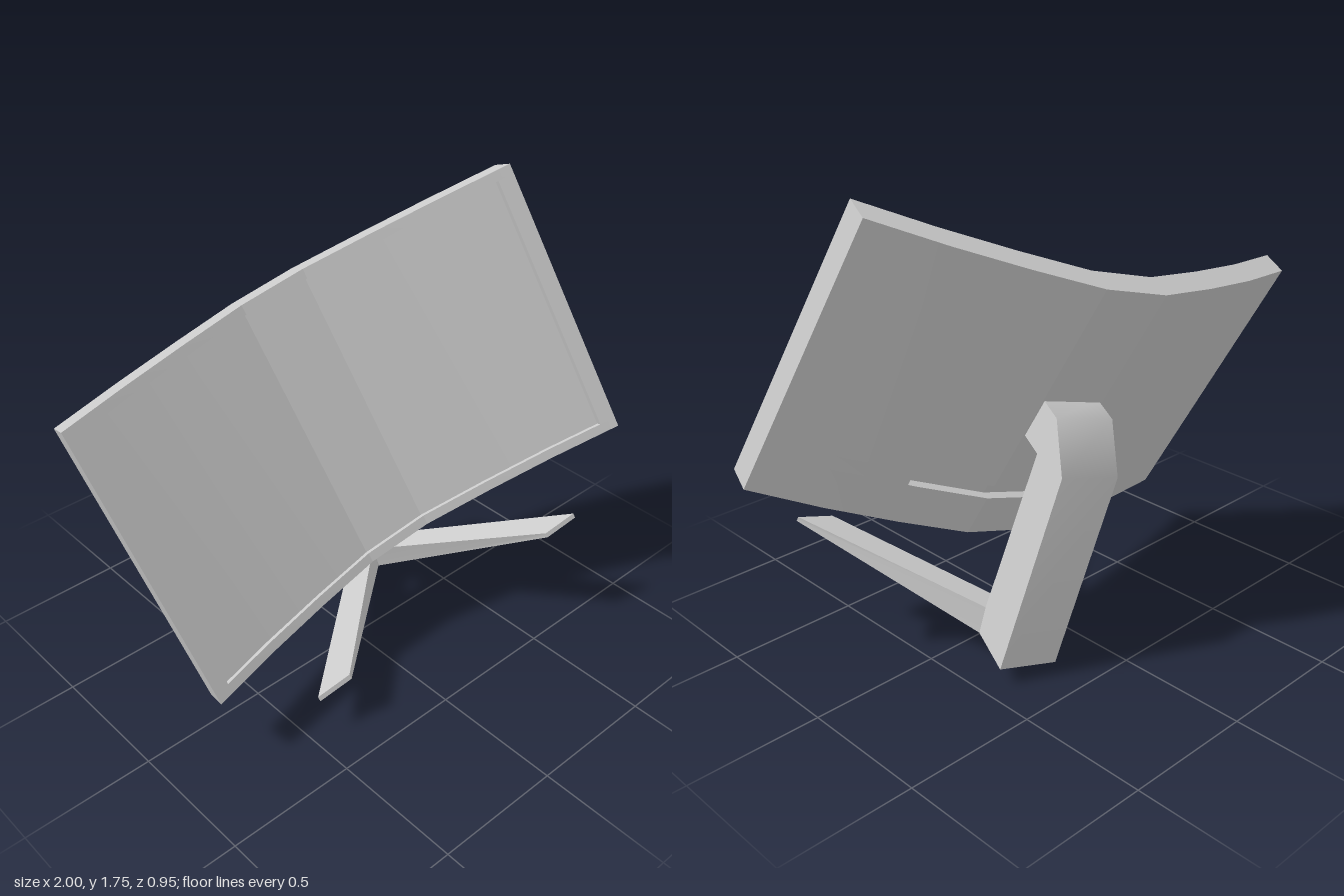
import * as THREE from 'three';
import { toCreasedNormals } from 'three/addons/utils/BufferGeometryUtils.js';

const material = new THREE.MeshStandardMaterial({ color: 0xcccccc });

// Panel bend: columns across the width and how far each sits behind the side edges
const COLS = [-0.926, -0.661, -0.397, -0.132, 0.132, 0.397, 0.661, 0.926];
const SAG = [0, 0.098, 0.178, 0.245, 0.245, 0.178, 0.098, 0];
const FRONT = 0.461, BOTTOM = 0.323, TOP = 1.429;

function sagAt(x) {
  let i = 0;
  while (i < COLS.length - 2 && x > COLS[i + 1]) i++;
  return THREE.MathUtils.lerp(SAG[i], SAG[i + 1], (x - COLS[i]) / (COLS[i + 1] - COLS[i]));
}

function addMesh(group, name, geometry) {
  const mesh = new THREE.Mesh(geometry, material);
  mesh.name = name;
  group.add(mesh);
  return mesh;
}

// Slab following the bend, from x0 to x1 and y0 to y1, between two depths behind the front
function bentSlab(x0, x1, y0, y1, near, far) {
  const xs = [x0, ...COLS.filter((x) => x > x0 + 1e-4 && x < x1 - 1e-4), x1];
  const edge = (depth) => xs.map((x) => new THREE.Vector2(x, -(FRONT - sagAt(x) - depth)));
  const shape = new THREE.Shape([...edge(near), ...edge(far).reverse()]);
  const geometry = new THREE.ExtrudeGeometry(shape, { depth: y1 - y0, bevelEnabled: false });
  geometry.rotateX(-Math.PI / 2).translate(0, y0, 0);
  return toCreasedNormals(geometry, 0.17);
}

function buildPanel() {
  const panel = new THREE.Group();
  panel.name = 'panel';
  const W = 0.926, recess = 0.02, slotDepth = 0.07, back = 0.1;
  const sideBezel = 0.058, topBezel = 0.038;
  const slotW = 0.43, slotLow = 0.495, slotHigh = 0.555;

  // Core whose front face is the recessed screen
  addMesh(panel, 'screen', bentSlab(-W, W, BOTTOM, TOP, recess, slotDepth));

  // Raised frame round the screen
  addMesh(panel, 'topBezel', bentSlab(-W, W, TOP - topBezel, TOP, 0, recess));
  addMesh(panel, 'bottomBezel', bentSlab(-W, W, BOTTOM, BOTTOM + topBezel, 0, recess));
  // Back cover, split round a long narrow slot
  addMesh(panel, 'upperBackCover', bentSlab(-W, W, slotHigh, TOP, slotDepth, back));
  addMesh(panel, 'lowerBackCover', bentSlab(-W, W, BOTTOM, slotLow, slotDepth, back));
  for (const [side, a, b, c, d] of [
    ['left', W - sideBezel, W, slotW, W],
    ['right', -W, -W + sideBezel, -W, -slotW],
  ]) {
    addMesh(panel, side + 'Bezel', bentSlab(a, b, BOTTOM + topBezel, TOP - topBezel, 0, recess));
    addMesh(panel, side + 'BackCover', bentSlab(c, d, slotLow, slotHigh, slotDepth, back));
  }
  return panel;
}

// Leaning column with an arm that bends forward to the panel; profile as (z, y)
function neckGeometry() {
  const profile = [
    [-0.338, 0.105], [-0.168, 0.105], [-0.134, 0.2], [0.025, 0.798], [0.125, 0.798],
    [0.125, 0.955], [0.03, 0.955], [-0.127, 0.826],
  ];
  const shape = new THREE.Shape(profile.map(([z, y]) => new THREE.Vector2(z, y)));
  const geometry = new THREE.ExtrudeGeometry(shape, { depth: 0.25, bevelEnabled: false });
  geometry.translate(0, 0, -0.125).rotateY(-Math.PI / 2);
  return toCreasedNormals(geometry, 0.72);
}

// Wedge foot, tall at the neck and thin at the tip, splayed to one side
function footGeometry(side) {
  const { lerp } = THREE.MathUtils;
  const geometry = new THREE.BoxGeometry(1, 1, 1);
  const p = geometry.attributes.position;
  for (let i = 0; i < p.count; i++) {
    const outer = p.getX(i) * side > 0, top = p.getY(i) > 0, k = p.getZ(i) + 0.5;
    p.setXYZ(
      i,
      side * (outer ? lerp(0.125, 0.613, k) : lerp(0, 0.472, k)),
      top ? lerp(0.2, 0.107, k) : lerp(0.105, 0.088, k),
      lerp(top ? -0.134 : -0.17, 0.43, k),
    );
  }
  geometry.computeVertexNormals();
  return geometry;
}

export function createModel() {
  const model = new THREE.Group();
  model.name = 'curvedMonitor';

  const monitor = new THREE.Group();
  monitor.name = 'monitor';
  monitor.add(buildPanel());

  const stand = new THREE.Group();
  stand.name = 'stand';
  addMesh(stand, 'neck', neckGeometry());
  addMesh(stand, 'leftFoot', footGeometry(1));
  addMesh(stand, 'rightFoot', footGeometry(-1));
  monitor.add(stand);

  // The whole monitor sits tilted back, rolled and turned
  const right = new THREE.Vector3(0.956, 0.262, 0.135).normalize();
  const front = right.clone().cross(new THREE.Vector3(-0.181, 0.888, -0.422)).normalize();
  const up = front.clone().cross(right);
  monitor.quaternion.setFromRotationMatrix(new THREE.Matrix4().makeBasis(right, up, front));
  monitor.position.copy(right).multiplyScalar(0.265);
  model.add(monitor);
  return model;
}
